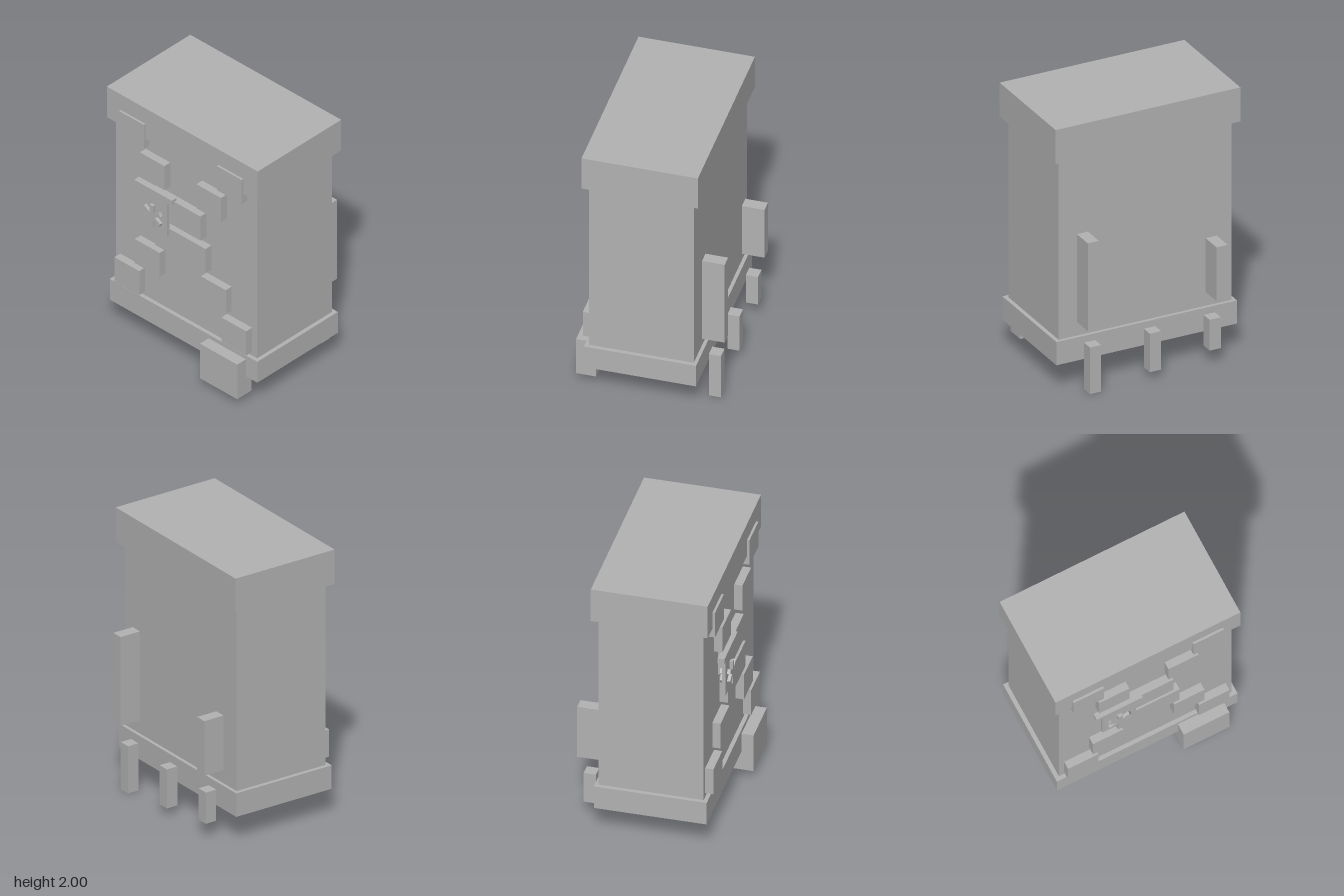
import * as THREE from 'three';

export function createModel() {
  const model = new THREE.Group();
  model.name = 'cabinet';
  const grey = new THREE.MeshStandardMaterial({ color: 0xb2b2b2 });
  grey.name = 'grey';

  // Box given by its extents along each axis
  function block(name, [x0, x1], [y0, y1], [z0, z1], parent = model) {
    const mesh = new THREE.Mesh(new THREE.BoxGeometry(x1 - x0, y1 - y0, z1 - z0), grey);
    mesh.position.set((x0 + x1) / 2, (y0 + y1) / 2, (z0 + z1) / 2);
    mesh.name = name;
    parent.add(mesh);
    return mesh;
  }

  // Main casing
  block('body', [-0.66, 0.66], [0.38, 1.75], [-0.34, 0.397]);
  block('lid', [-0.707, 0.705], [1.743, 2], [-0.382, 0.438]);
  block('base', [-0.69, 0.69], [0.212, 0.387], [-0.365, 0.426]);

  // Raised front panels: centre x, bottom y, width
  const panels = [
    [-0.461, 1.668, 0.233], [0.455, 1.668, 0.233],
    [-0.267, 1.419, 0.23], [0.262, 1.419, 0.23],
    [-0.165, 1.166, 0.233], [0.068, 1.166, 0.233],
    [-0.003, 0.917, 0.471],
    [-0.313, 0.667, 0.233], [0.306, 0.667, 0.233],
    [-0.503, 0.418, 0.233], [0.497, 0.418, 0.233],
  ];
  for (const [x, y, w] of panels) {
    block('frontPanel', [x - w / 2, x + w / 2], [y, y + 0.202], [0.39, 0.455]);
  }

  // Plaque with a top rail and a star of crossed bars
  block('plaque', [-0.365, -0.111], [1.054, 1.355], [0.446, 0.471]);
  block('plaqueRail', [-0.413, -0.061], [1.346, 1.388], [0.43, 0.478]);
  const star = new THREE.Group();
  star.name = 'star';
  star.position.set(-0.238, 1.18, 0);
  model.add(star);
  for (let i = 0; i < 3; i++) {
    const bar = block('starBar', [-0.016, 0.016], [-0.088, 0.088], [0.42, 0.494], star);
    bar.rotation.z = (i * Math.PI) / 3;
  }

  // Front corner block
  block('cornerBlock', [0.234, 0.583], [0.064, 0.355], [0.37, 0.511]);

  // Rear pegs of stepped length
  [[-0.46, 0.122], [-0.003, 0.064], [0.455, 0.003]].forEach(([x, y]) =>
    block('rearPeg', [x - 0.043, x + 0.043], [y, 0.355], [-0.486, -0.4]));

  // Rear uprights
  block('tallUpright', [0.448, 0.533], [0.503, 1.166], [-0.522, -0.362]);
  block('shortUpright', [-0.537, -0.452], [0.503, 0.91], [-0.522, -0.362]);

  // Stand on y = 0
  const box = new THREE.Box3().setFromObject(model);
  for (const part of model.children) part.position.y -= box.min.y;
  return model;
}
